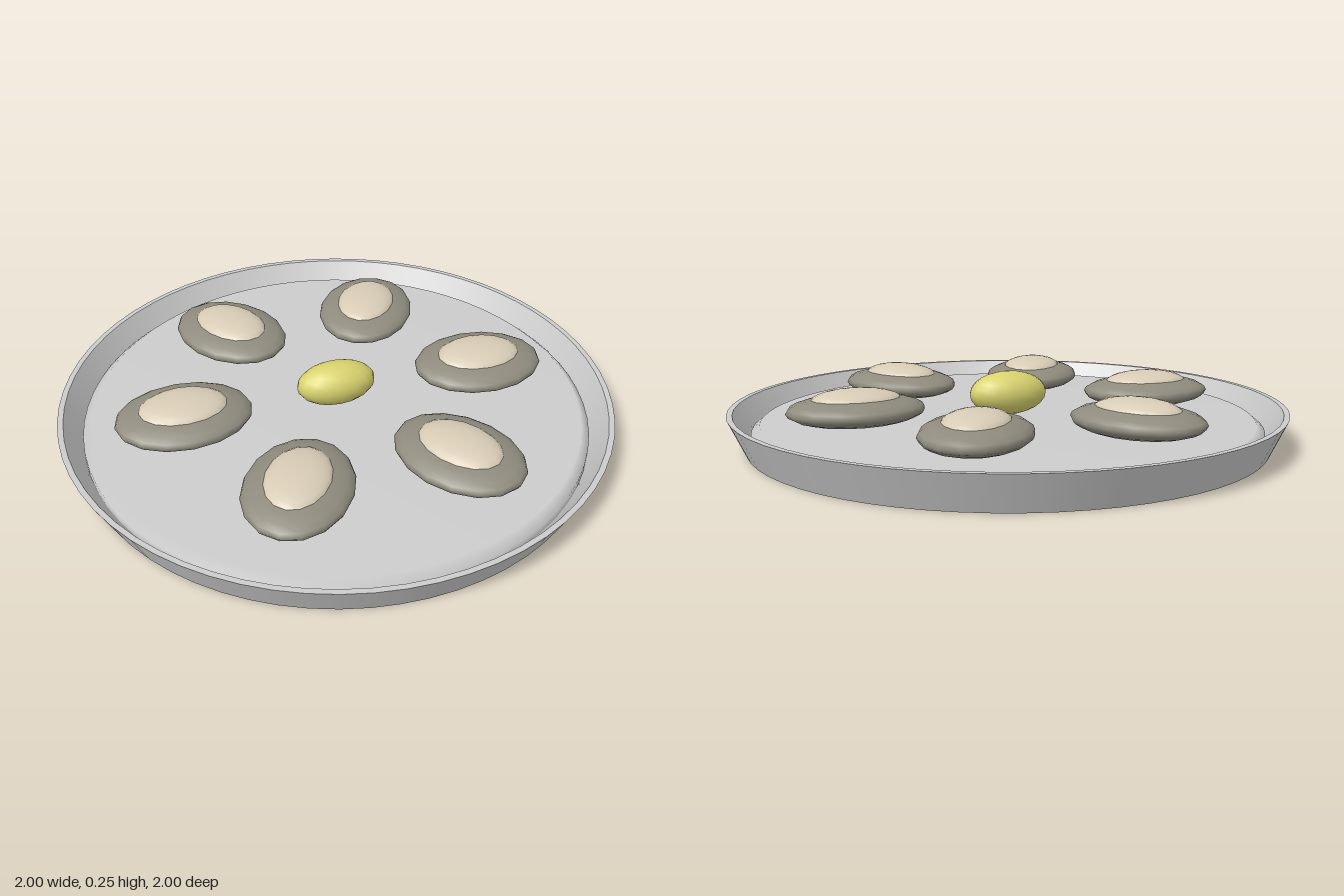
import * as THREE from 'three';

const material = (name, color, side = THREE.FrontSide) => {
  const m = new THREE.MeshStandardMaterial({ color, side });
  m.name = name;
  return m;
};

export function createModel() {
  const silver = material('silver', 0xcccccc, THREE.DoubleSide);
  const shellGrey = material('shellGrey', 0x8f8b7e);
  const cream = material('cream', 0xd8ccb6);
  const yellow = material('lemonYellow', 0xd8d26e);
  const model = new THREE.Group();
  model.name = 'oysterPlatter';

  const add = (parent, name, geometry, mat) => {
    const mesh = new THREE.Mesh(geometry, mat);
    mesh.name = name;
    parent.add(mesh);
    return mesh;
  };
  const lathe = (name, points) => add(model, name,
    new THREE.LatheGeometry(points.map(([r, y]) => new THREE.Vector2(r, y)), 64), silver);
  const ellipsoid = (parent, name, [rx, ry, rz], y, mat) => {
    const geometry = new THREE.SphereGeometry(1, 16, 12);
    geometry.scale(rx, ry, rz);
    add(parent, name, geometry, mat).position.y = y;
  };

  // Tray: separate profiles keep its edges sharp
  lathe('trayBase', [[0, 0], [0.94, 0]]);
  lathe('trayOuterWall', [[0.94, 0], [1, 0.13]]);
  lathe('trayRim', [[1, 0.13], [0.98, 0.13]]);
  lathe('trayInnerWall', [[0.98, 0.13], [0.92, 0.03]]);

  // Raised floor with a softly rounded edge
  lathe('trayFloor', [[0.92, 0.03], [0.92, 0.06], [0.89, 0.085], [0, 0.085]]);

  // Six oysters in a ring, long axes pointing outward
  for (let i = 0; i < 6; i++) {
    const angle = (i * Math.PI) / 3;
    const oyster = new THREE.Group();
    oyster.name = `oyster${i + 1}`;
    oyster.position.set(0.5625 * Math.cos(angle), 0, 0.5625 * Math.sin(angle));
    oyster.rotation.y = -angle;
    ellipsoid(oyster, 'shell', [0.245, 0.055, 0.185], 0.14, shellGrey);
    ellipsoid(oyster, 'meat', [0.16, 0.04, 0.113], 0.175, cream);
    model.add(oyster);
  }

  // Lemon in the middle
  ellipsoid(model, 'lemon', [0.147, 0.08, 0.085], 0.165, yellow);

  return model;
}
